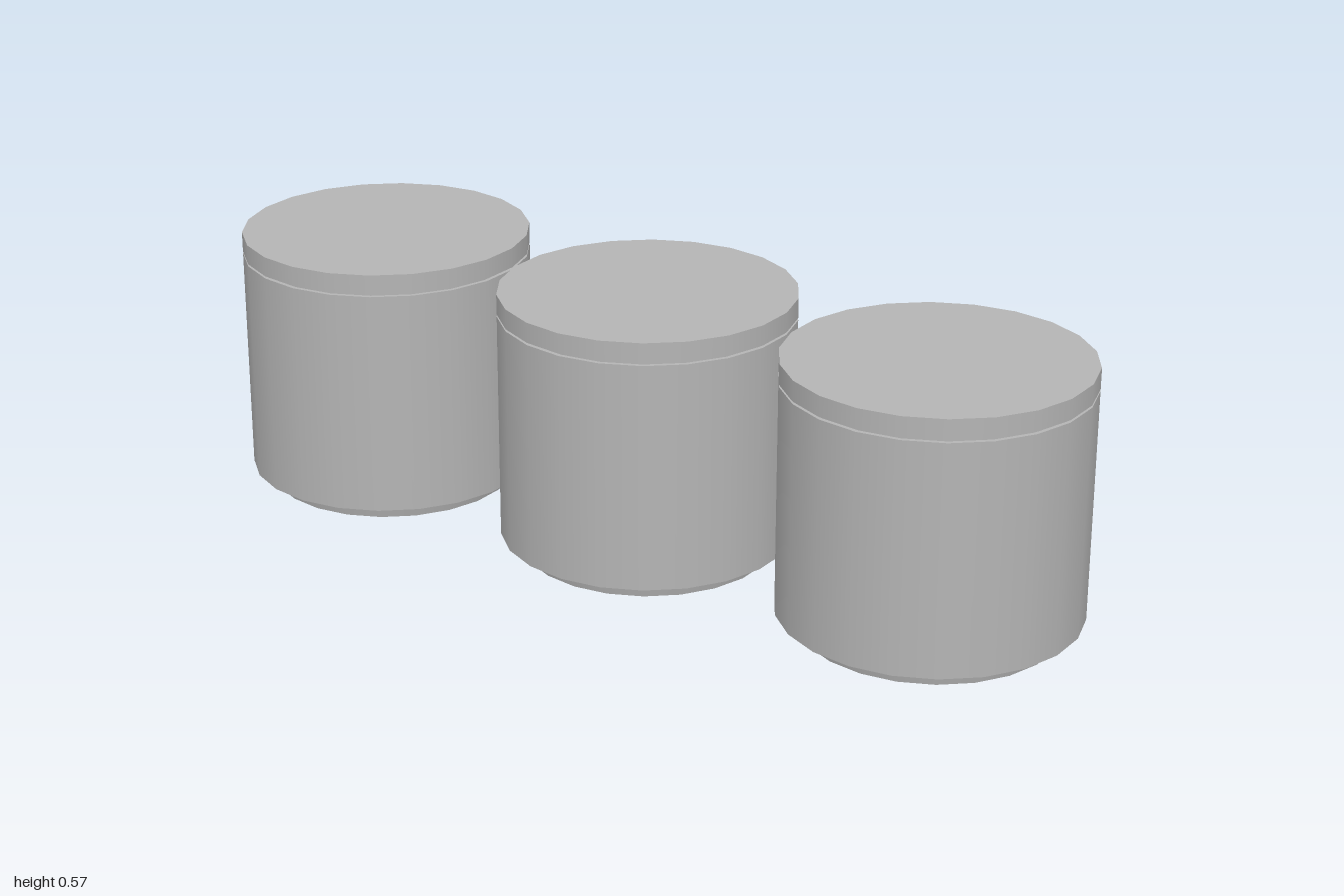
import * as THREE from 'three';
import { mergeGeometries } from 'three/addons/utils/BufferGeometryUtils.js';

const SIDES = 22;

// Turned shape: smooth around the axis, crisp at every profile corner
function turned(profile) {
  const points = profile.map(([r, y]) => new THREE.Vector2(r, y));
  const bands = [];
  for (let i = 0; i < points.length - 1; i++) {
    bands.push(new THREE.LatheGeometry([points[i], points[i + 1]], SIDES));
  }
  return mergeGeometries(bands);
}

export function createModel() {
  const model = new THREE.Group();
  model.name = 'canisterSet';

  const grey = new THREE.MeshStandardMaterial({ color: 0xb4b4b4 });
  grey.name = 'grey';

  const R = 0.313;
  const parts = {
    // Narrow foot flaring out to the body
    foot: turned([[0, 0], [0.268, 0], [0.272, 0.017], [0.297, 0.029], [R, 0.035]]),
    // Straight wall with a small shoulder
    body: turned([[R, 0.035], [R, 0.525], [0.304, 0.525]]),
    // Recessed seam under the lid
    neck: turned([[0.304, 0.525], [0.304, 0.53]]),
    // Flat lid
    lid: turned([[0.304, 0.53], [R, 0.53], [R, 0.573], [0, 0.573]]),
  };

  [['rightCanister', -0.69], ['middleCanister', 0.004], ['leftCanister', 0.69]].forEach(([name, x]) => {
    const canister = new THREE.Group();
    canister.name = name;
    canister.position.x = x;
    for (const [part, geometry] of Object.entries(parts)) {
      const mesh = new THREE.Mesh(geometry, grey);
      mesh.name = part;
      canister.add(mesh);
    }
    model.add(canister);
  });

  return model;
}
